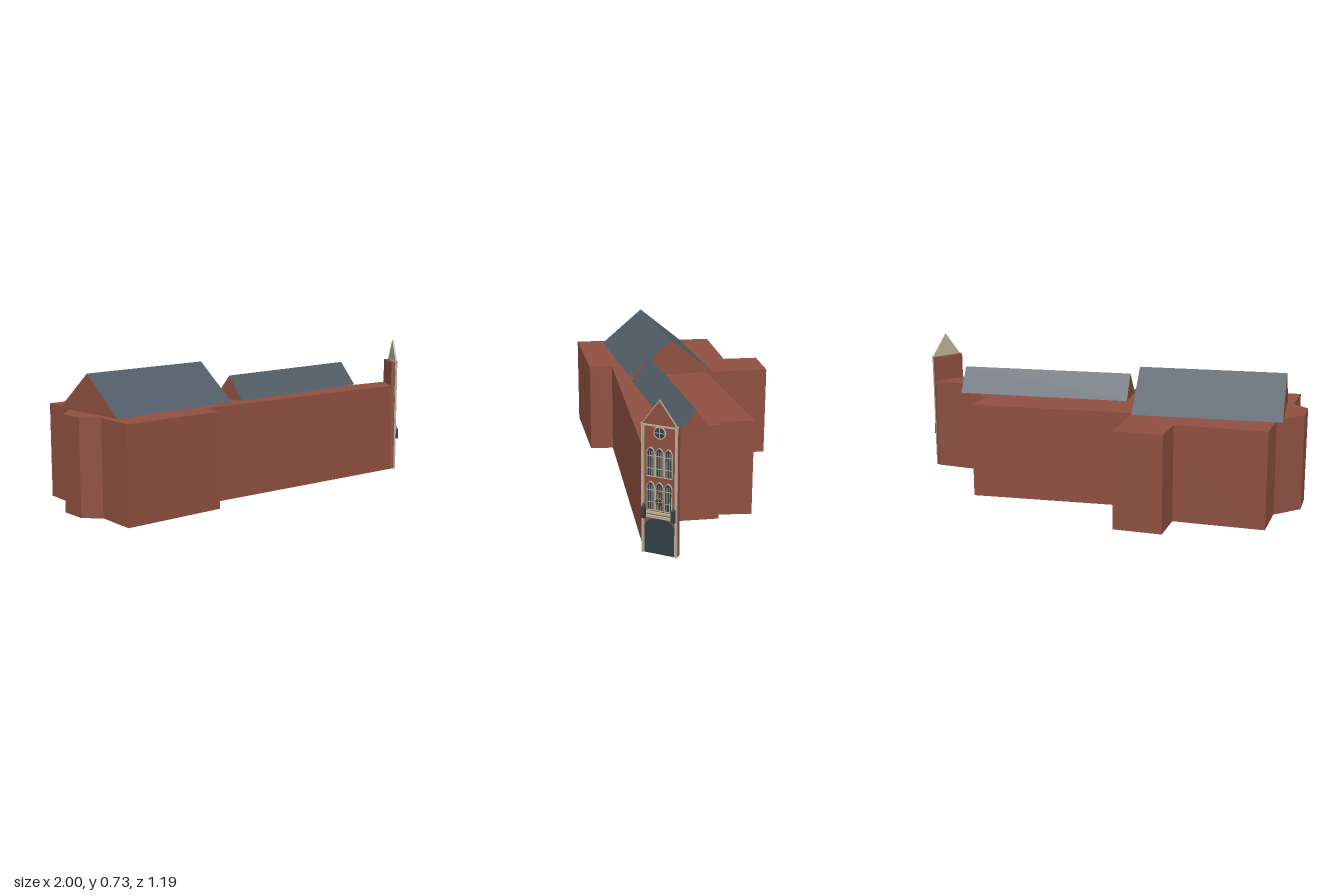
import * as THREE from 'three';

const mat = (color) => new THREE.MeshStandardMaterial({ color, flatShading: true, roughness: 0.9 });
const brick = mat(0x8f5040), slate = mat(0x525d67), glass = mat(0x353f47), stone = mat(0xb9b096);

function add(parent, name, geo, material, x = 0, y = 0, z = 0) {
  const m = new THREE.Mesh(geo, material);
  m.name = name;
  m.position.set(x, y, z);
  parent.add(m);
  return m;
}
const box = (parent, name, material, w, h, d, x, y, z) =>
  add(parent, name, new THREE.BoxGeometry(w, h, d), material, x, y, z);
const poly = (pts) => new THREE.Shape(pts.map(([x, y]) => new THREE.Vector2(x, y)));
const extrude = (shape, depth) =>
  new THREE.ExtrudeGeometry(shape, { depth, bevelEnabled: false, curveSegments: 10 });

// Flat-sided surface from planar polygons, each fanned into triangles
function faces(polys) {
  const pos = [];
  for (const p of polys)
    for (let i = 1; i < p.length - 1; i++) pos.push(...p[0], ...p[i], ...p[i + 1]);
  const g = new THREE.BufferGeometry();
  g.setAttribute('position', new THREE.Float32BufferAttribute(pos, 3));
  g.computeVertexNormals();
  return g;
}

// Pitched roof: eave corners and ridge ends given as [x, z]
function roof(parent, name, eave, top, corners, ridge) {
  const [A, B, C, D] = corners.map(([x, z]) => [x, eave, z]);
  const [P, Q] = ridge.map(([x, z]) => [x, top, z]);
  const g = new THREE.Group();
  g.name = name;
  add(g, name + 'Slopes', faces([[A, P, Q, B], [P, D, C, Q], [A, B, C, D]]), slate);
  add(g, name + 'Gables', faces([[A, D, P], [C, B, Q]]), brick);
  parent.add(g);
}

// Pointed-arch outline standing on y = 0
function lancet(w, h, T = THREE.Shape) {
  const r = w / 2, spring = h - w * 0.75, s = new T();
  s.moveTo(-r, 0);
  s.lineTo(r, 0);
  s.lineTo(r, spring);
  s.quadraticCurveTo(r, spring + w * 0.5, 0, h);
  s.quadraticCurveTo(-r, spring + w * 0.5, -r, spring);
  s.lineTo(-r, 0);
  return s;
}

// Dark lancet pane with stone surround, mullions and transoms
function lancetWindow(parent, x, y, w, h) {
  const g = new THREE.Group();
  g.name = 'lancetWindow';
  g.position.set(x, y, 0);
  add(g, 'pane', extrude(lancet(w - 0.002, h - 0.002), 0.002), glass);
  const ring = lancet(w, h);
  const hole = new THREE.Path(lancet(w - 0.007, h - 0.007).getPoints(10).map((p) => p.setY(p.y + 0.003)));
  ring.holes.push(hole);
  add(g, 'surround', extrude(ring, 0.007), stone);
  for (const s of [-1, 1])
    box(g, 'mullion', stone, 0.0022, h - 0.02, 0.004, s * w * 0.17, (h - 0.02) / 2, 0.003);
  for (const t of [0.28, 0.7])
    box(g, 'transom', stone, w - 0.004, 0.0022, 0.004, 0, h * t, 0.003);
  parent.add(g);
}

// Round window: pane, ring and crossing bars
function roundWindow(parent, name, y, r, z) {
  const g = new THREE.Group();
  g.name = name;
  g.position.set(0, y, z);
  add(g, 'pane', new THREE.CylinderGeometry(r, r, 0.004, 24).rotateX(Math.PI / 2), glass);
  add(g, 'ring', new THREE.TorusGeometry(r * 0.92, r * 0.13, 6, 24), stone);
  for (let i = 0; i < 2; i++)
    box(g, 'bar', stone, r * 1.8, r * 0.1, 0.004, 0, 0, 0.002).rotation.z = i * Math.PI / 2;
  parent.add(g);
}

function facade() {
  const g = new THREE.Group();
  g.name = 'entranceFacade';
  g.position.set(0.959, 0, -0.241);
  g.rotation.y = Math.PI / 2 - 0.22;

  // Wall slab, corner posts and cornice
  box(g, 'facadeWall', brick, 0.17, 0.61, 0.024, 0, 0.305, -0.012);
  for (const s of [-1, 1]) {
    box(g, 'cornerPost', stone, 0.008, 0.61, 0.012, s * 0.081, 0.305, 0.004);
    box(g, 'innerPost', stone, 0.004, 0.61, 0.007, s * 0.0745, 0.305, 0.002);
  }
  box(g, 'cornice', stone, 0.174, 0.008, 0.016, 0, 0.61, 0.005);

  // Thin gable, brick in front and stone behind
  add(g, 'gableFront', extrude(poly([[-0.08, 0.613], [0.08, 0.613], [0, 0.722]]), 0.003), brick, 0, 0, 0.006);
  add(g, 'gableBack', extrude(poly([[-0.085, 0.611], [0.085, 0.611], [0, 0.729]]), 0.006), stone);

  // Windows
  roundWindow(g, 'roseWindow', 0.576, 0.029, 0.002);
  for (const x of [-0.042, 0, 0.042]) {
    lancetWindow(g, x, 0.37, 0.038, 0.138);
    lancetWindow(g, x, 0.21, 0.038, 0.138);
  }
  roundWindow(g, 'roundOrnament', 0.256, 0.017, 0.009);

  // Stone bands over the door
  box(g, 'upperBand', stone, 0.146, 0.008, 0.012, 0, 0.2, 0.006);
  box(g, 'bandBrick', brick, 0.146, 0.006, 0.008, 0, 0.193, 0.004);
  box(g, 'lowerBand', stone, 0.15, 0.012, 0.012, 0, 0.182, 0.006);

  // Arched doorway
  const door = poly([[-0.072, 0], [0.072, 0], [0.072, 0.125]]);
  door.absellipse(0, 0.125, 0.072, 0.05, 0, Math.PI, false);
  add(g, 'door', extrude(door, 0.003), glass);

  // Dark pointed lanterns either side
  for (const s of [-1, 1]) {
    box(g, 'lantern', glass, 0.018, 0.055, 0.016, s * 0.071, 0.2, 0.016);
    add(g, 'lanternCap', new THREE.ConeGeometry(0.012, 0.018, 4).rotateY(Math.PI / 4), glass,
      s * 0.071, 0.2365, 0.016);
  }
  return g;
}

export function createModel() {
  const model = new THREE.Group();
  model.name = 'brickChurch';

  // Main body from its ground plan [x, z]
  const plan = [
    [-1, -0.157], [-0.585, -0.313], [-0.643, -0.489], [-0.42, -0.57], [-0.307, -0.253],
    [0.44, -0.596], [0.484, -0.43], [0.527, -0.446], [0.606, -0.228], [0.955, -0.33],
    [0.925, -0.163], [-0.313, 0.27], [-0.28, 0.388], [-0.783, 0.59], [-0.853, 0.377],
    [-0.95, 0.34], [-1, 0.206], [-0.93, 0.055],
  ];
  const body = extrude(poly(plan.map(([x, z]) => [x, -z]).reverse()), 0.478).rotateX(-Math.PI / 2);
  add(model, 'mainWalls', body, brick);

  // Two pitched roofs
  roof(model, 'largeRoof', 0.479, 0.668,
    [[-0.98, 0.02], [-0.323, -0.286], [-0.13, 0.13], [-0.79, 0.435]],
    [[-0.885, 0.227], [-0.227, -0.078]]);
  roof(model, 'smallRoof', 0.479, 0.6,
    [[-0.147, -0.078], [0.655, -0.446], [0.74, -0.27], [-0.067, 0.104]],
    [[-0.104, 0.013], [0.698, -0.36]]);

  model.add(facade());
  return model;
}
